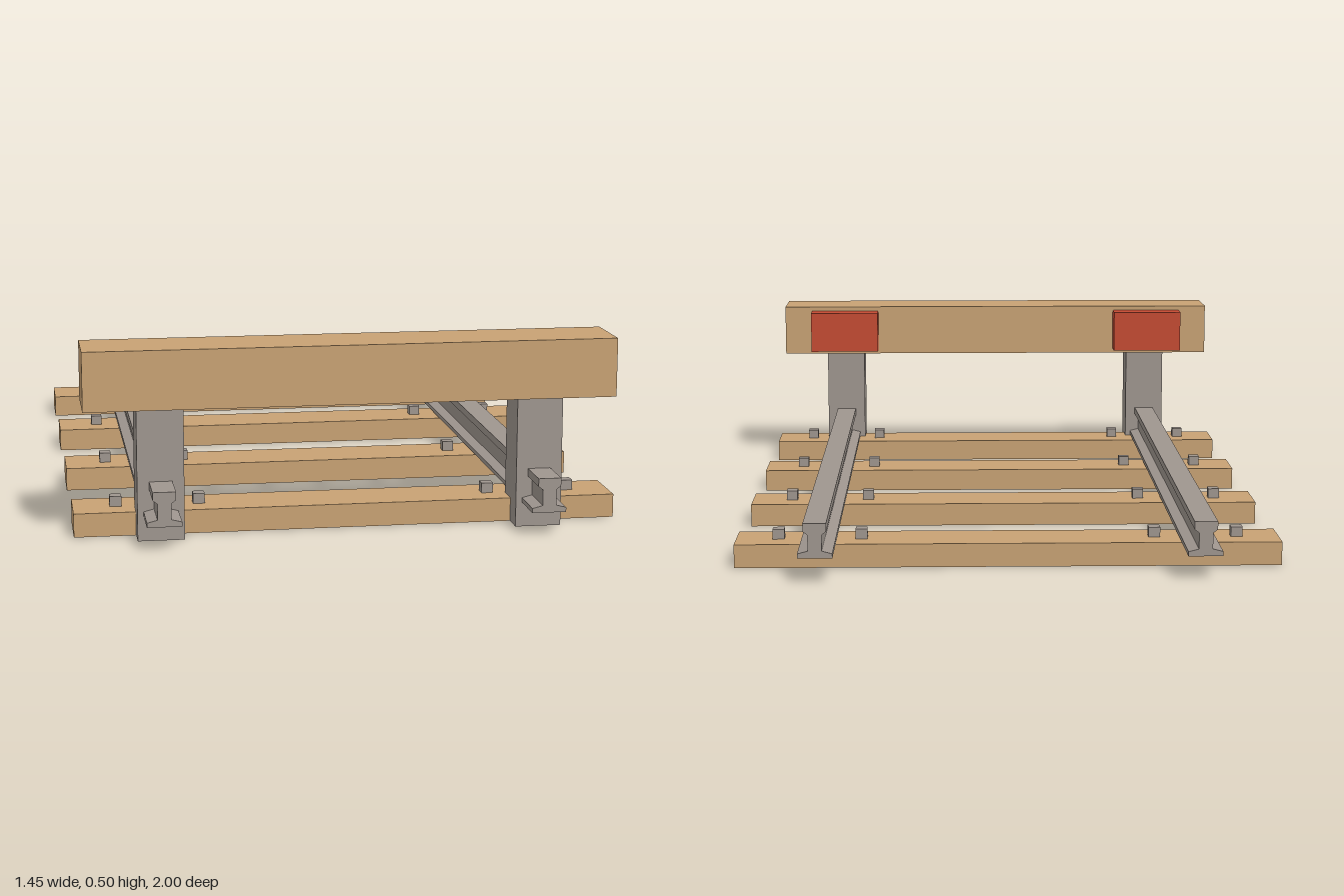
import * as THREE from 'three';

const wood = new THREE.MeshStandardMaterial({ name: 'wood', color: 0xc8a274 });
const steel = new THREE.MeshStandardMaterial({ name: 'steel', color: 0x9f968f });
const red = new THREE.MeshStandardMaterial({ name: 'red', color: 0xc44b33 });

export function createModel() {
  const model = new THREE.Group();
  model.name = 'bufferStop';

  // box given by its centre in x and its ranges in y and z
  function box(name, material, x, width, [y0, y1], [z0, z1]) {
    const mesh = new THREE.Mesh(new THREE.BoxGeometry(width, y1 - y0, z1 - z0), material);
    mesh.position.set(x, (y0 + y1) / 2, (z0 + z1) / 2);
    mesh.name = name;
    model.add(mesh);
  }

  // sleepers with a bolt on each side of each rail
  for (const z of [-0.752, -0.251, 0.249, 0.749]) {
    box('sleeper', wood, 0, 1.446, [0, 0.063], [z - 0.078, z + 0.078]);
    for (const x of [-0.61, -0.39, 0.39, 0.61]) {
      box('bolt', steel, x, 0.031, [0.063, 0.09], [z - 0.0155, z + 0.0155]);
    }
  }

  // rail section: foot, sloped web, head
  const half = [
    [0.045, 0.066], [0.045, 0.078], [0.018, 0.085],
    [0.018, 0.127], [0.03, 0.136], [0.03, 0.157],
  ];
  const outline = [...half, ...half.map(([x, y]) => [-x, y]).reverse()];
  const section = new THREE.Shape(outline.map(([x, y]) => new THREE.Vector2(x, y)));
  const railGeometry = new THREE.ExtrudeGeometry(section, { depth: 2, bevelEnabled: false });
  railGeometry.translate(0, 0, -1);

  // one rail, post and buffer pad per side
  for (const x of [-0.5, 0.5]) {
    const rail = new THREE.Mesh(railGeometry, steel);
    rail.name = 'rail';
    rail.position.x = x;
    model.add(rail);
    box('post', steel, x, 0.122, [0, 0.35], [0.768, 0.887]);
    box('bufferPad', red, x, 0.219, [0.364, 0.491], [0.67, 0.737]);
  }

  // cross beam on top of the posts
  box('crossBeam', wood, 0, 1.396, [0.349, 0.505], [0.736, 0.912]);

  return model;
}
